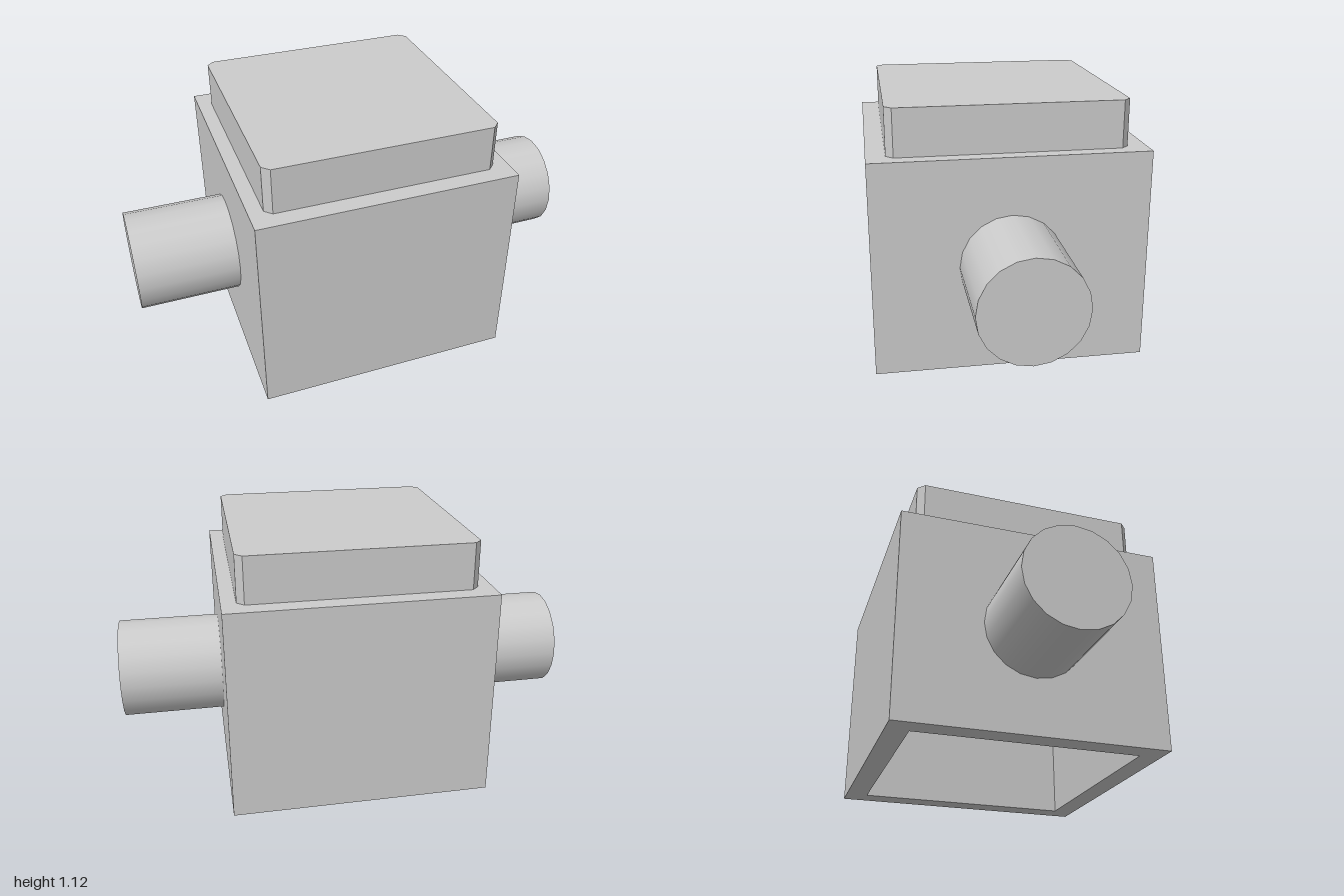
import * as THREE from 'three';

const W = 1.12, H = 0.92, D = 1.154; // housing size
const T = 0.095;                      // wall thickness

export function createModel() {
  const model = new THREE.Group();
  model.name = 'housing';
  const grey = new THREE.MeshStandardMaterial({ color: 0xcccccc });
  grey.name = 'plain grey';

  const add = (name, geometry, x, y, z) => {
    const mesh = new THREE.Mesh(geometry, grey);
    mesh.name = name;
    mesh.position.set(x, y, z);
    model.add(mesh);
    return mesh;
  };

  // Open-bottomed housing: four walls under a top plate
  const wallH = H - T;
  add('topPlate', new THREE.BoxGeometry(W, T, D), 0, H - T / 2, 0);
  for (const s of [1, -1]) {
    const side = s > 0 ? 'left' : 'right';
    add(side + 'Wall', new THREE.BoxGeometry(T, wallH, D), s * (W - T) / 2, wallH / 2, 0);
    add(s > 0 ? 'frontWall' : 'backWall',
      new THREE.BoxGeometry(W - 2 * T, wallH, T), 0, wallH / 2, s * (D - T) / 2);

    // Round stub on each side, ending at the wall
    const length = 1 - W / 2;
    const stub = add(side + 'Stub', new THREE.CylinderGeometry(0.217, 0.217, length, 20),
      s * (W / 2 + length / 2), 0.46, 0);
    stub.rotation.z = -s * Math.PI / 2;
  }

  // Raised square lid with chamfered vertical corners
  const a = 0.497, b = a - 0.03;
  const outline = new THREE.Shape([
    [b, -a], [a, -b], [a, b], [b, a], [-b, a], [-a, b], [-a, -b], [-b, -a],
  ].map(([x, y]) => new THREE.Vector2(x, y)));
  const lid = new THREE.ExtrudeGeometry(outline, { depth: 0.2, bevelEnabled: false });
  lid.rotateX(-Math.PI / 2);
  add('lid', lid, 0, H, 0);

  return model;
}
